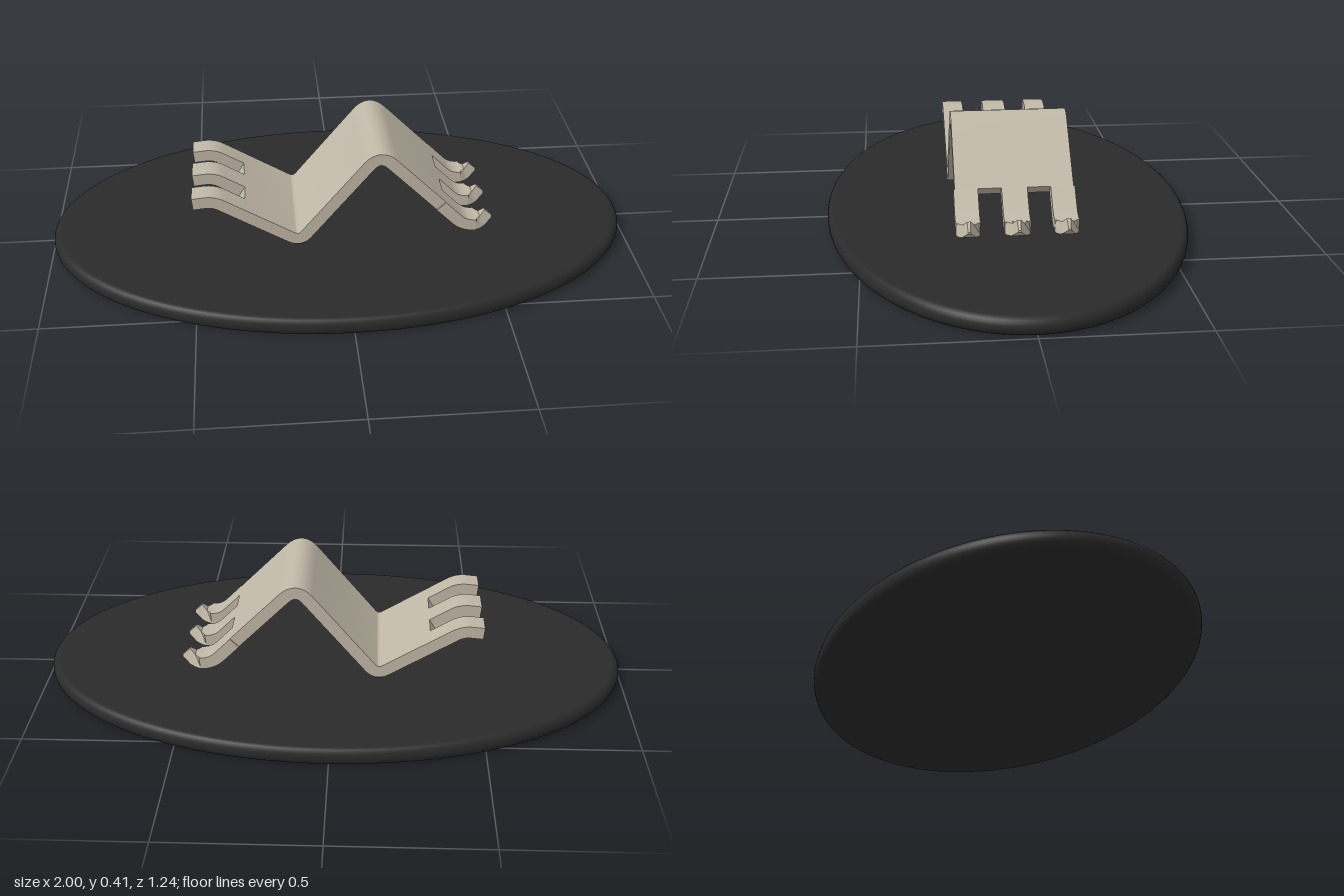
import * as THREE from 'three';
import { toCreasedNormals } from 'three/addons/utils/BufferGeometryUtils.js';

const HALF_THICK = 0.021;

// Round each inner corner of a polyline; corners are [x, y, cutback]
function roundedPath(corners) {
  const pts = corners.map(c => new THREE.Vector2(c[0], c[1]));
  const out = [pts[0]];
  for (let i = 1; i < pts.length - 1; i++) {
    const p = pts[i], d = corners[i][2];
    const a = pts[i - 1].clone().sub(p).setLength(d).add(p);
    const b = pts[i + 1].clone().sub(p).setLength(d).add(p);
    out.push(...new THREE.QuadraticBezierCurve(a, p, b).getPoints(8));
  }
  out.push(pts[pts.length - 1]);
  return out;
}

// Thicken a centreline into a bent sheet spanning z0..z1
function sheet(path, z0, z1) {
  const upper = [], lower = [];
  path.forEach((p, i) => {
    const before = path[Math.max(i - 1, 0)], after = path[Math.min(i + 1, path.length - 1)];
    const t = after.clone().sub(before).normalize();
    const n = new THREE.Vector2(-t.y, t.x).multiplyScalar(HALF_THICK);
    upper.push(p.clone().add(n));
    lower.push(p.clone().sub(n));
  });
  const shape = new THREE.Shape([...lower, ...upper.reverse()]);
  const geo = new THREE.ExtrudeGeometry(shape, { depth: z1 - z0, bevelEnabled: false });
  geo.translate(0, 0, z0);
  return toCreasedNormals(geo, 0.5);
}

// Pointed, upturned tip lofted through trapezoid sections
function tipGeometry(z, halfWidth) {
  // x, bottom y, top y, bottom half width, top half width
  const sections = [
    [0.45, 0.093, 0.135, 1, 1],
    [0.47, 0.096, 0.135, 0.85, 0.45],
    [0.488, 0.1, 0.153, 0.58, 0.15],
    [0.515, 0.122, 0.128, 0.15, 0.1],
  ];
  const pos = [], index = [];
  sections.forEach(([x, b, t, wb, wt], i) => {
    const hb = wb * halfWidth, ht = wt * halfWidth;
    pos.push(x, b, z + hb, x, b, z - hb, x, t, z - ht, x, t, z + ht);
    if (i === 0) return;
    for (let k = 0; k < 4; k++) {
      const n = (k + 1) % 4, r = (i - 1) * 4, s = i * 4;
      index.push(r + k, r + n, s + n, r + k, s + n, s + k);
    }
  });
  const e = (sections.length - 1) * 4;
  index.push(e, e + 1, e + 2, e, e + 2, e + 3);
  const geo = new THREE.BufferGeometry();
  geo.setAttribute('position', new THREE.Float32BufferAttribute(pos, 3));
  geo.setIndex(index);
  return toCreasedNormals(geo, 0.45);
}

export function createModel() {
  const model = new THREE.Group();
  const black = new THREE.MeshStandardMaterial({ color: 0x2a2a2a });
  black.name = 'matte black';
  const metal = new THREE.MeshStandardMaterial({ color: 0xbfb7a6 });
  metal.name = 'warm grey metal';

  const add = (name, geo, material) => {
    const mesh = new THREE.Mesh(geo, material);
    mesh.name = name;
    model.add(mesh);
  };

  // Oval base with a rounded rim
  const profile = [new THREE.Vector2(0, 0), new THREE.Vector2(0.965, 0)];
  for (let i = 0; i <= 12; i++) {
    const a = -Math.PI / 2 + (i / 12) * Math.PI;
    profile.push(new THREE.Vector2(0.97 + 0.03 * Math.cos(a), 0.03 + 0.03 * Math.sin(a)));
  }
  profile.push(new THREE.Vector2(0.965, 0.06), new THREE.Vector2(0, 0.06));
  const base = new THREE.LatheGeometry(profile, 128);
  base.scale(1, 1, 0.618);
  add('ovalBase', base, black);

  // Zigzag sheet: left prongs, solid middle, right prongs
  const path = roundedPath([
    [-0.505, 0.245],
    [-0.435, 0.252, 0.03],
    [-0.149, 0.079, 0.035],
    [0.1216, 0.408, 0.06],
    [0.415, 0.112, 0.04],
    [0.45, 0.114],
  ]);
  const splitL = new THREE.Vector2(-0.34, 0.1945);
  const splitR = new THREE.Vector2(0.332, 0.1957);
  const leftPath = [...path.filter(p => p.x < splitL.x), splitL];
  const midPath = [splitL, ...path.filter(p => p.x > splitL.x && p.x < splitR.x), splitR];
  const rightPath = [splitR, ...path.filter(p => p.x > splitR.x)];
  add('bentSheet', sheet(midPath, -0.193, 0.193), metal);

  // Three prongs at each end, the right ones ending in points
  [[-0.193, -0.118], [-0.042, 0.042], [0.118, 0.193]].forEach(([z0, z1], i) => {
    add('leftProng' + (i + 1), sheet(leftPath, z0, z1), metal);
    const r0 = i === 0 ? -0.197 : z0, r1 = i === 2 ? 0.197 : z1;
    add('rightProng' + (i + 1), sheet(rightPath, r0, r1), metal);
    add('prongTip' + (i + 1), tipGeometry((r0 + r1) / 2, (r1 - r0) / 2), metal);
  });

  return model;
}
